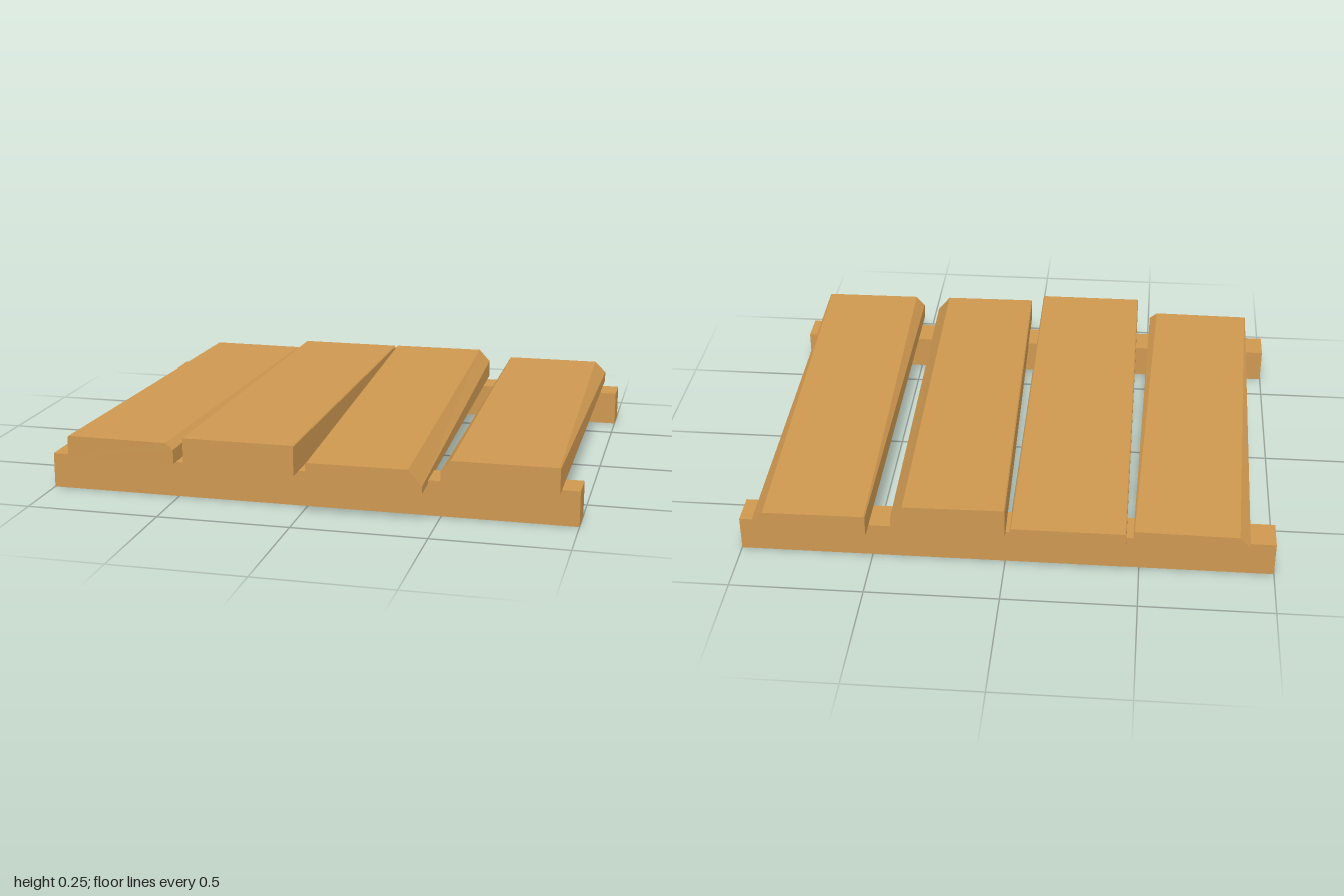
import * as THREE from 'three';

const wood = new THREE.MeshStandardMaterial({ color: 0xce9850 });
wood.name = 'warm wood';

// One plank end: a box outline with its two top corners cut, anticlockwise from the front.
// left and right are [cut width, cut height]; z runs from zl to zr across the end.
function plankEnd({ xl, xr, y0, y1, zl, zr, left, right }) {
  const outline = [
    [xl, y0], [xr, y0], [xr, y1 - right[1]],
    [xr - right[0], y1], [xl + left[0], y1], [xl, y1 - left[1]],
  ];
  return outline.map(([x, y]) =>
    new THREE.Vector3(x, y, zl + (zr - zl) * (x - xl) / (xr - xl)));
}

// Solid between two ends, with sharp faces
function plankGeometry(back, front) {
  const b = plankEnd(back), f = plankEnd(front), n = f.length;
  const corners = [];
  for (let i = 0; i < n; i++) {
    const j = (i + 1) % n;
    corners.push(f[i], b[i], b[j], f[i], b[j], f[j]);
    if (i > 0 && i < n - 1) corners.push(f[0], f[i], f[j], b[0], b[j], b[i]);
  }
  const geometry = new THREE.BufferGeometry().setFromPoints(corners);
  geometry.computeVertexNormals();
  return geometry;
}

const tiny = [0.004, 0.004];
const planks = [
  { name: 'plankFarRight',
    back: { xl: -0.9, xr: -0.475, y0: 0.138, y1: 0.215, zl: -0.85, zr: -0.843, left: [0.04, 0.04], right: tiny },
    front: { xl: -0.925, xr: -0.505, y0: 0.138, y1: 0.217, zl: 0.79, zr: 0.797, left: tiny, right: [0.03, 0.025] } },
  { name: 'plankInnerRight',
    back: { xl: -0.45, xr: -0.028, y0: 0.136, y1: 0.235, zl: -0.89, zr: -0.89, left: tiny, right: tiny },
    front: { xl: -0.45, xr: -0.028, y0: 0.14, y1: 0.255, zl: 0.845, zr: 0.845, left: tiny, right: tiny } },
  { name: 'plankInnerLeft',
    back: { xl: -0.003, xr: 0.42, y0: 0.136, y1: 0.255, zl: -0.81, zr: -0.817, left: tiny, right: [0.045, 0.05] },
    front: { xl: 0.028, xr: 0.453, y0: 0.12, y1: 0.208, zl: 0.887, zr: 0.88, left: tiny, right: [0.05, 0.06] } },
  { name: 'plankFarLeft',
    back: { xl: 0.51, xr: 0.935, y0: 0.138, y1: 0.222, zl: -0.843, zr: -0.847, left: tiny, right: [0.045, 0.045] },
    front: { xl: 0.51, xr: 0.935, y0: 0.138, y1: 0.235, zl: 0.828, zr: 0.824, left: [0.035, 0.04], right: tiny } },
];

export function createModel() {
  const group = new THREE.Group();
  group.name = 'plankPlatform';

  // Support beams
  for (const [name, z] of [['frontBeam', 0.69], ['backBeam', -0.707]]) {
    const beam = new THREE.Mesh(new THREE.BoxGeometry(2, 0.133, 0.127), wood);
    beam.name = name;
    beam.position.set(0, 0.0665, z);
    group.add(beam);
  }

  // Uneven planks across the beams
  for (const { name, back, front } of planks) {
    const plank = new THREE.Mesh(plankGeometry(back, front), wood);
    plank.name = name;
    group.add(plank);
  }
  return group;
}
